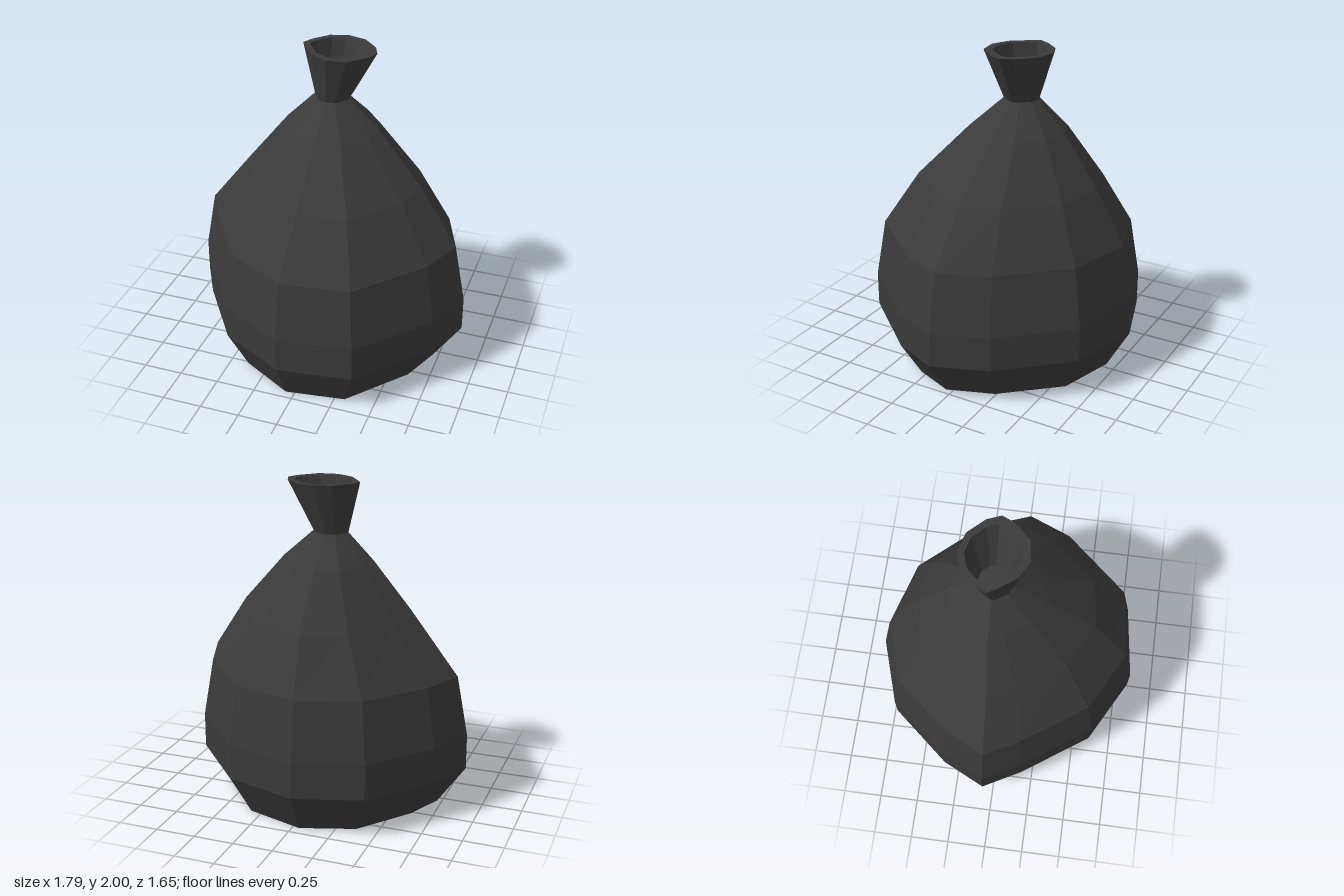
import * as THREE from 'three';

// Irregular twelve-sided plan of the sack at its widest, [x, z], counter-clockwise from above
const PLAN = [
  [-0.07, 0.82], [0.39, 0.76], [0.77, 0.33], [0.89, 0.04], [0.76, -0.30], [0.40, -0.70],
  [-0.05, -0.83], [-0.46, -0.70], [-0.77, -0.33], [-0.90, -0.06], [-0.77, 0.18], [-0.48, 0.60],
];

// Rings: [height, centre x, centre z, scale x, scale z]
const BASE = [0, 0, 0.01, 0.80, 0.84];
const TIE = [1.69, -0.02, -0.075, 0.125, 0.13];
const FLOOR = [1.72, -0.015, -0.09, 0.105, 0.105];

const SACK = [
  BASE,
  [0.26, 0, 0, 1, 1],
  [0.48, 0, 0, 1, 1],
  [0.85, 0, 0, 0.92, 0.925],
  [1.19, 0.015, -0.025, 0.645, 0.685],
  [1.51, -0.005, -0.065, 0.34, 0.36],
  TIE,
];
const NECK = [
  TIE,
  [2, 0.025, -0.085, 0.262, 0.248],
  [2, 0.02, -0.09, 0.21, 0.195],
  FLOOR,
];

// A ring shrunk to a point, which closes an end
const closed = ([y, x, z]) => [y, x, z, 0, 0];

// Skin a stack of rings with flat quads
function loft(rings) {
  const points = rings.map(([y, cx, cz, sx, sz]) =>
    PLAN.map(([x, z]) => [cx + x * sx, y, cz + z * sz]));
  const pos = [];
  for (let r = 0; r < rings.length - 1; r++) {
    for (let i = 0; i < PLAN.length; i++) {
      const j = (i + 1) % PLAN.length;
      const a = points[r][i], b = points[r][j];
      const c = points[r + 1][j], d = points[r + 1][i];
      if (rings[r][3] > 0) pos.push(...a, ...b, ...c);
      if (rings[r + 1][3] > 0) pos.push(...a, ...c, ...d);
      // a fan towards a closing point keeps only the first triangle
    }
  }
  const geo = new THREE.BufferGeometry();
  geo.setAttribute('position', new THREE.Float32BufferAttribute(pos, 3));
  geo.computeVertexNormals();
  return geo;
}

export function createModel() {
  const group = new THREE.Group();
  group.name = 'tiedSack';
  const material = new THREE.MeshStandardMaterial({ color: 0x3a3a3a, flatShading: true });

  // Bulging sack with a flat underside
  const sack = new THREE.Mesh(loft([closed(BASE), ...SACK]), material);
  sack.name = 'sackBody';

  // Flared open neck with a flat rim and a shallow hollow
  const neck = new THREE.Mesh(loft([...NECK, closed(FLOOR)]), material);
  neck.name = 'gatheredNeck';

  group.add(sack, neck);
  return group;
}
